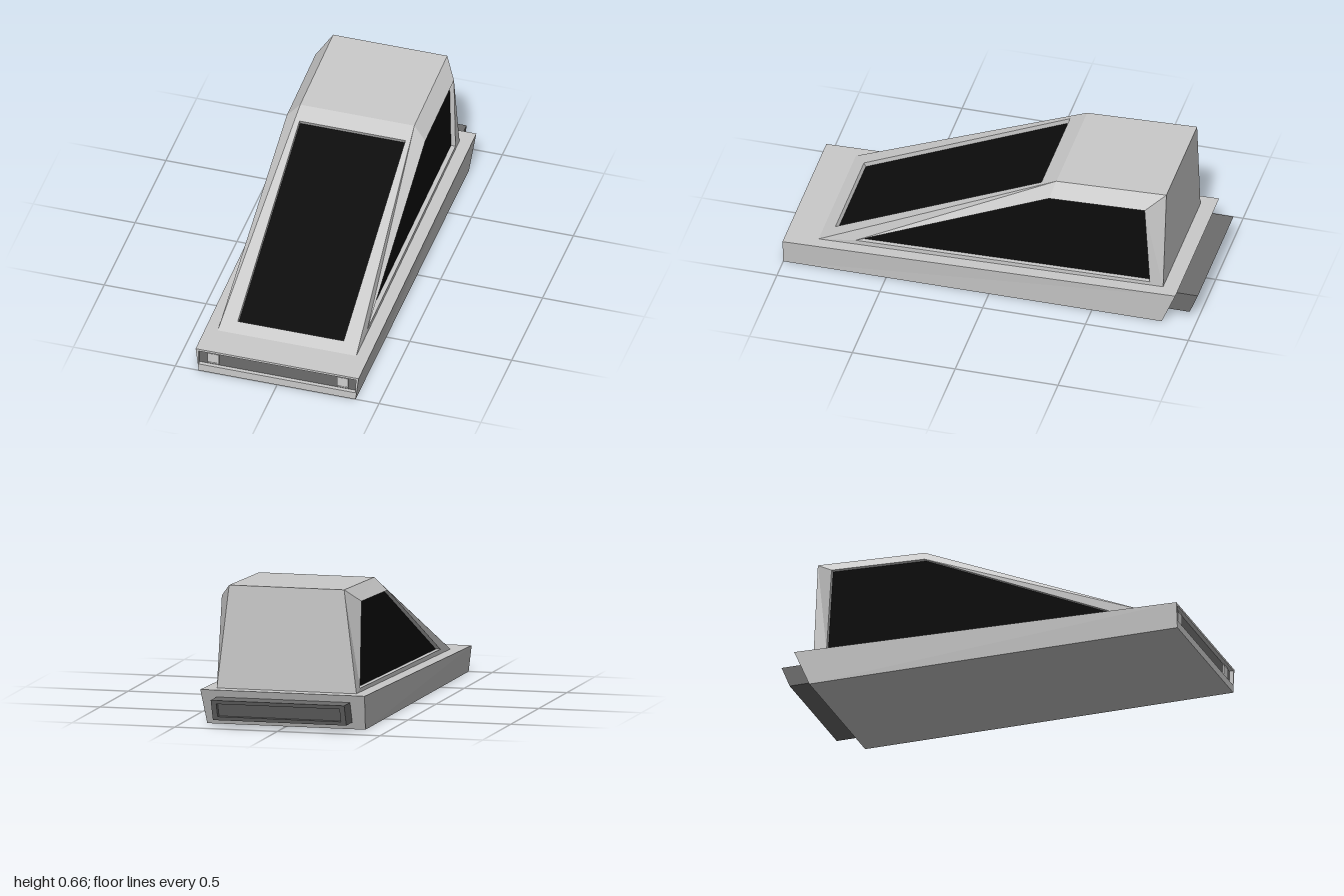
import * as THREE from 'three';

const paint = (name, color) => {
  const m = new THREE.MeshStandardMaterial({ color });
  m.name = name;
  return m;
};

// Corner loops run counterclockwise as seen from outside.
const cap = (loop) => loop.slice(2).flatMap((p, i) => [loop[0], loop[i + 1], p]);
const band = (a, b) => a.flatMap((p, i) => {
  const j = (i + 1) % a.length;
  return [p, a[j], b[j], p, b[j], b[i]];
});
const shift = (loop, dx, dy, dz) => loop.map(([x, y, z]) => [x + dx, y + dy, z + dz]);
const mirror = (loop) => loop.map(([x, y, z]) => [-x, y, z]).reverse();

export function createModel() {
  const model = new THREE.Group();
  model.name = 'wedgeVehicle';
  const body = paint('body grey', 0xcacaca);
  const trim = paint('dark grey trim', 0x6c6c6c);
  const glass = paint('black glass', 0x0c0c0c);
  const lamp = paint('lamp', 0xcfcfcf);
  const white = paint('white edging', 0xffffff);

  const add = (name, material, ...triangleLists) => {
    const geo = new THREE.BufferGeometry();
    geo.setAttribute('position', new THREE.Float32BufferAttribute(triangleLists.flat(2), 3));
    geo.computeVertexNormals();
    const mesh = new THREE.Mesh(geo, material);
    mesh.name = name;
    model.add(mesh);
  };
  const box = (name, material, size, pos) => {
    const mesh = new THREE.Mesh(new THREE.BoxGeometry(...size), material);
    mesh.position.set(...pos);
    mesh.name = name;
    model.add(mesh);
  };

  // Hull: tapered slab with a sloping top and an undercut tail
  const top = [[-0.4, 0.125, 1], [0.4, 0.125, 1], [0.4, 0.17, -0.91], [-0.4, 0.17, -0.91]];
  const low = [[-0.385, 0, 1], [0.385, 0, 1], [0.385, 0, -0.84], [-0.385, 0, -0.84]];
  const wall = (i) => [low[i], low[(i + 1) % 4], top[(i + 1) % 4], top[i]];
  const slot = [[-0.386, 0.038, 1], [0.386, 0.038, 1], [0.386, 0.114, 1], [-0.386, 0.114, 1]];
  const slotBack = shift(slot, 0, 0, -0.02);
  add('hull', body, cap(top), cap([...low].reverse()),
    cap(wall(1)), cap(wall(2)), cap(wall(3)), band(wall(0), slot), band(slot, slotBack));
  add('frontGrille', trim, cap(slotBack));

  // Headlights with thin edging strips
  for (const s of [-1, 1]) {
    box('headlight', lamp, [0.055, 0.05, 0.01], [s * 0.317, 0.078, 0.984]);
    for (const y of [0.046, 0.109]) {
      box('headlightEdging', white, [0.055, 0.005, 0.006], [s * 0.317, y, 0.983]);
    }
  }

  // Cabin: framed windscreen
  const frame = [[-0.34, 0.129, 0.84], [0.34, 0.129, 0.84], [0.28, 0.64, -0.3], [-0.28, 0.64, -0.3]];
  const onSlope = (x, y) => [x, y, 0.84 - (y - 0.129) * 1.14 / 0.511];
  const screen = [onSlope(-0.26, 0.156), onSlope(0.26, 0.156), onSlope(0.26, 0.605), onSlope(-0.26, 0.605)];
  const screenIn = shift(screen, 0, -0.02, -0.009);
  add('windscreenFrame', body, band(frame, screen), band(screen, screenIn));
  add('windscreen', glass, cap(screenIn));

  // Cabin: roof and rear panel
  const roofR = [0.28, 0.66, -0.835], roofL = [-0.28, 0.66, -0.835];
  const footR = [0.34, 0.168, -0.835], footL = [-0.34, 0.168, -0.835];
  add('roof', body, cap([frame[3], frame[2], roofR, roofL]));
  add('rearPanel', body, cap([footR, footL, roofL, roofR]));

  // Cabin: sides with chamfered rails, pillars and recessed windows
  const side = [frame[1], footR, roofR, frame[2]];
  const opening = [[0.34, 0.155, 0.66], [0.34, 0.185, -0.77], [0.34, 0.595, -0.745], [0.34, 0.578, -0.28]];
  const pane = shift(opening, -0.022, 0, 0);
  for (const [name, f] of [['left', (l) => l], ['right', mirror]]) {
    add(name + 'SideFrame', body, band(f(side), f(opening)), band(f(opening), f(pane)));
    add(name + 'SideWindow', glass, cap(f(pane)));
  }

  // Tail unit: slanted dark box with a recessed face
  const tailLoop = (w, y0, y1, z) => [[w, y0], [-w, y0], [-w, y1], [w, y1]]
    .map(([x, y]) => [x, y, z - (y - 0.035) * 0.4]);
  const rim = tailLoop(0.325, 0.035, 0.135, -0.96);
  const lip = tailLoop(0.3, 0.053, 0.117, -0.96);
  const inset = shift(lip, 0, 0, 0.025);
  add('tailUnit', trim, band(shift(rim, 0, 0, 0.11), rim), band(rim, lip), band(lip, inset), cap(inset));

  return model;
}
